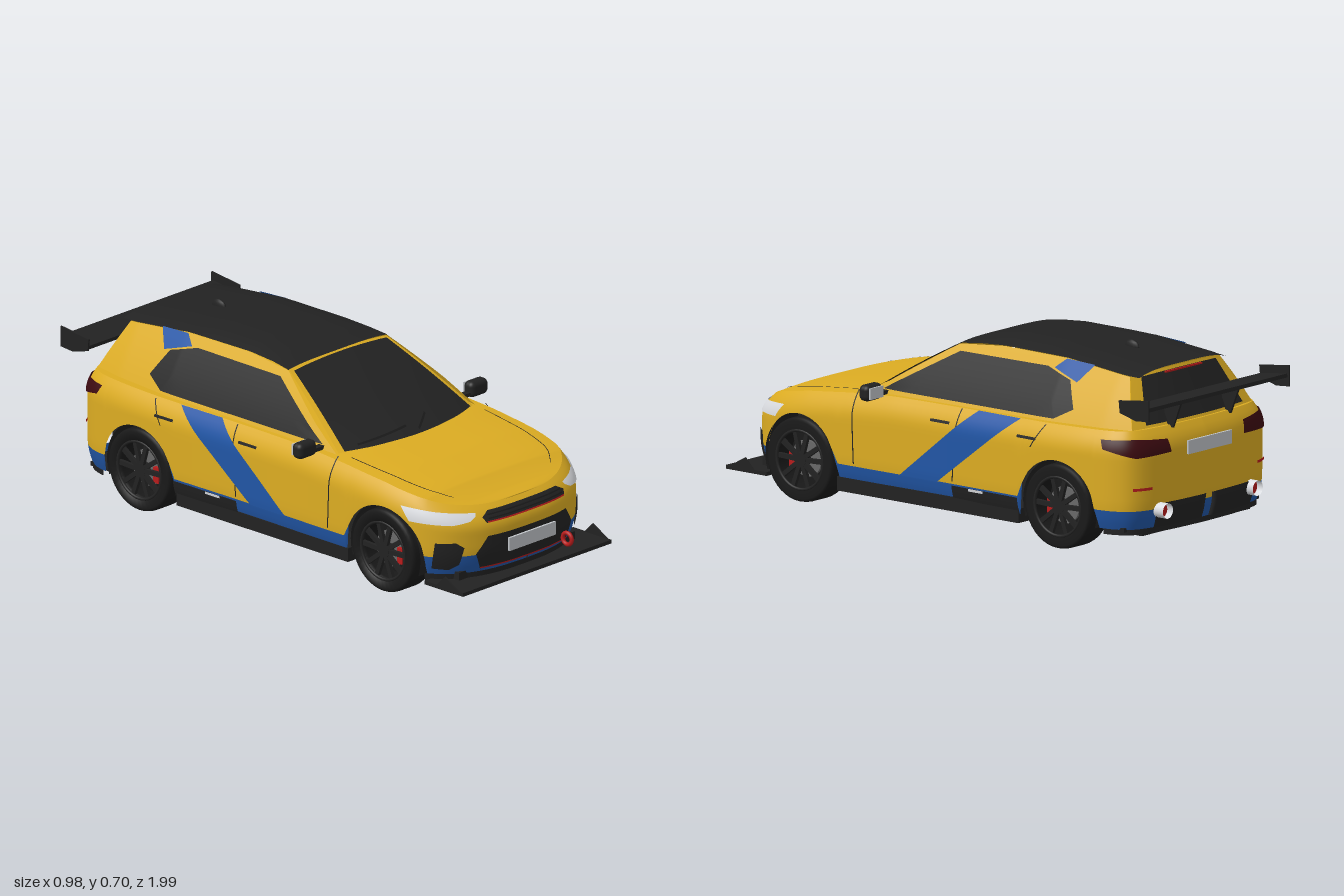
import * as THREE from 'three';
import { RoundedBoxGeometry } from 'three/addons/geometries/RoundedBoxGeometry.js';

const paint = (name, color) => {
  const m = new THREE.MeshStandardMaterial({ color, side: THREE.DoubleSide });
  m.name = name;
  return m;
};
const yellow = paint('yellowPaint', 0xdcac22), blue = paint('bluePaint', 0x2156a6);
const black = paint('blackTrim', 0x222222), rubber = paint('rubber', 0x191919);
const red = paint('redTrim', 0xb81c1c), silver = paint('silverPlate', 0xbfc3c7);
const lamp = paint('headlightGlass', 0xdcdee2), tail = paint('tailLightGlass', 0x3c0a10);
const steel = paint('exhaustSteel', 0x686868);

const { lerp, smoothstep } = THREE.MathUtils;
const table = (rows, x) => { // linear lookup, keys descending
  if (x >= rows[0][0]) return rows[0][1];
  for (let i = 1; i < rows.length; i++) {
    const [a, va] = rows[i - 1], [b, vb] = rows[i];
    if (x >= b) return lerp(va, vb, (a - x) / (a - b));
  }
  return rows[rows.length - 1][1];
};
const along = (line, t) => { // point on a polyline or function
  if (typeof line === 'function') return line(t);
  const k = t * (line.length - 1), i = Math.min(Math.floor(k), line.length - 2);
  return [0, 1].map((c) => lerp(line[i][c], line[i + 1][c], k - i));
};
// Sheet between two lines in a 2D parameter space, mapped into 3D by f
function strip(a, b, n, m, f) {
  const g = new THREE.PlaneGeometry(1, 1, n, m), pos = g.attributes.position;
  for (let i = 0; i < pos.count; i++) {
    const u = pos.getX(i) + 0.5, v = pos.getY(i) + 0.5;
    const p = along(a, u), q = along(b, u);
    pos.setXYZ(i, ...f([lerp(p[0], q[0], v), lerp(p[1], q[1], v)]));
  }
  g.computeVertexNormals();
  return g;
}
const solve = (fn, lo, hi) => { // fn true below the root
  for (let i = 0; i < 30; i++) { const mid = (lo + hi) / 2; if (fn(mid)) lo = mid; else hi = mid; }
  return lo;
};

// Plan outline from nose centre (s = 0) to tail centre (s = 1); negative s is the right side
const plan = new THREE.SplineCurve([[0, .955], [.12, .95], [.23, .925], [.32, .875], [.38, .8], [.41, .7],
  [.422, .55], [.424, .3], [.42, 0], [.422, -.3], [.426, -.55], [.42, -.72], [.4, -.84], [.34, -.91],
  [.2, -.94], [0, -.95]].map(([x, z]) => new THREE.Vector2(x, z)));
const at = (s) => plan.getPoint(Math.min(Math.max(s, 0), 1));
const sOfZ = (z) => solve((s) => at(s).y > z, 0, 1);
const sFront = (x) => solve((s) => at(s).x < x, 0, .44);
const sRear = (x) => solve((s) => at(s).x > x, .68, 1);
const topY = (z) => table([[.955, .335], [.9, .35], [.8, .375], [.6, .408], [.4, .43], [.2, .444], [-.5, .45], [-.95, .46]], z);
const crown = (z) => table([[.91, .003], [.8, .012], [.4, .014], [.2, .006], [-.95, 0]], z);
const WHEELS = [.62, -.59];
const bottomY = (z) => {
  for (const c of WHEELS) { const d = Math.abs(z - c); if (d < .172) return .155 + Math.sqrt(.172 ** 2 - d * d); }
  return .1;
};
// Body wall point at outline position s and height y
function wall(s, y, off = 0) {
  const k = Math.abs(s), p = at(k);
  const t = at(k + .002).sub(at(k - .002)).normalize();
  const inset = .035 * Math.max(0, 1 - (topY(p.y) - y) / .09) ** 2 + .02 * Math.max(0, (.2 - y) / .1) ** 2;
  const lean = smoothstep(p.y, .72, .95) * .02 * Math.max(0, (y - .26) / .08) ** 2;
  const x = k < .001 || k > .999 ? 0 : Math.max(0, p.x - t.y * (off - inset));
  return [Math.sign(s) * x, y, p.y + t.x * (off - inset) - lean];
}
// Bonnet and waist deck point
function deck(s, t, lift = 0) {
  const z = at(s).y, y = topY(z), p = wall(s, y);
  return [p[0] * t, y + crown(z) * (1 - Math.abs(t) ** 3) + lift, p[2]];
}
// Cabin side, half width by z and y
const cabinX = (z, y) => {
  const d = y - .45;
  return table([[.345, .352], [.2, .366], [-.5, .368], [-.75, .355], [-.88, .336]], z) - .45 * d - .6 * d * Math.abs(d);
};
const roofEdge = (z) => table([[0, .645], [-.08, .655], [-.2, .662], [-.5, .66], [-.79, .632], [-.83, .63]], z);
const roofMid = (z) => table([[0, .655], [-.08, .673], [-.2, .688], [-.4, .687], [-.6, .673], [-.83, .65]], z);
const screen = ([u, v], o = 0) => [u * lerp(.35, .252, v),
  lerp(.432, .655 - .01 * u * u, v) + .006 * Math.sin(Math.PI * v) + o, lerp(.42 - .075 * u * u, -.01 + .01 * u * u, v) + o];
const hatch = ([u, v], o = 0) => [u * lerp(cabinX(-.88, .44), cabinX(-.79, .632), v),
  lerp(.44, .645 - .013 * u * u, v) + o * .5, lerp(-.915 + .035 * u * u, -.82 + .03 * u * u, v) - o];

export function createModel() {
  const car = new THREE.Group();
  car.name = 'rallyHatchback';
  const add = (name, geo, mat, x = 0, y = 0, z = 0, parent = car) => {
    const m = new THREE.Mesh(geo, mat);
    m.name = name;
    m.position.set(x, y, z);
    parent.add(m);
    return m;
  };
  const box = (name, mat, w, h, d, x, y, z, parent) => add(name, new THREE.BoxGeometry(w, h, d), mat, x, y, z, parent);
  const ring = (yf) => (u) => [2 * u - 1, yf(at(Math.abs(2 * u - 1)).y)];
  const rect = (a0, a1, b0, b1) => [[[a0, b0], [a1, b0]], [[a0, b1], [a1, b1]]];
  const bandY = (z) => Math.max(.17, bottomY(z));

  // Body shell
  add('bodyWall', strip(ring(bandY), ring(topY), 300, 14, ([s, y]) => wall(s, y)), yellow);
  add('lowerBand', strip(ring(bottomY), ring(bandY), 300, 3, ([s, y]) => wall(s, y)), blue);
  add('bonnetAndDeck', strip((u) => [u, -1], (u) => [u, 1], 150, 24, ([s, t]) => deck(s, t)), yellow);
  // Cabin
  add('windscreenFrame', strip(...rect(-1, 1, 0, 1), 20, 10, (p) => screen(p)), yellow);
  add('windscreen', strip(...rect(-.94, .94, .03, .97), 20, 10, (p) => screen(p, .003)), black);
  add('tailgate', strip(...rect(-1, 1, 0, 1), 20, 8, (p) => hatch(p)), yellow);
  add('rearWindow', strip(...rect(-.82, .82, .14, .95), 20, 8, (p) => hatch(p, .004)), black);
  add('roof', strip([[0, -1], [-.83, -1]], [[0, 1], [-.83, 1]], 40, 24, ([z, t]) =>
    [t * cabinX(z, roofEdge(z)), lerp(roofEdge(z), roofMid(z), 1 - t ** 4) + .002, z]), black);
  box('highBrakeLight', red, .2, .006, .008, 0, .632, -.832);
  const fin = add('roofAntenna', new THREE.SphereGeometry(1, 12, 8), black, 0, .674, -.59);
  fin.scale.set(.012, .026, .034);

  // Nose
  const nose = (off) => ([x, y]) => wall(Math.sign(x) * sFront(Math.abs(x)), y, off);
  const mirrored = (edge) => edge.map(([x, y]) => [-x, y]);
  const noseShape = (name, mat, edge, off) => add(name, strip(edge, mirrored(edge), 12, 30, nose(off)), mat);
  noseShape('upperGrille', black, [[-.2, .285], [-.212, .305], [-.18, .322]], .005);
  noseShape('grilleRedLine', red, [[-.195, .286], [-.198, .291]], .008);
  noseShape('lowerIntake', black, [[-.225, .113], [-.245, .175], [-.2, .237]], .005);
  noseShape('intakeRedLine', red, [[-.225, .115], [-.228, .121]], .009);
  for (const y of [.297, .309]) noseShape('grilleBar', rubber, [[-.19, y], [-.19, y + .004]], .009);
  box('frontPlate', silver, .24, .05, .009, 0, .19, .964);
  const hook = add('towHook', new THREE.TorusGeometry(.022, .008, 8, 20), red, .185, .13, .962);
  hook.rotation.y = Math.PI / 2;
  add('frontLip', strip(...rect(-sOfZ(.79), sOfZ(.79), .068, .1), 60, 1, ([s, y]) => wall(s, Math.max(y, .09)).map((c, i) => i === 1 ? y : c)), black);
  box('splitter', black, .77, .014, .19, 0, .073, .895);

  // Tail
  const tailMap = (off) => ([x, y]) => wall(Math.sign(x) * sRear(Math.abs(x)), y, off);
  add('diffuser', strip([[-.27, .1], [-.27, .16], [-.23, .19]], [[.27, .1], [.27, .16], [.23, .19]], 8, 24, tailMap(.006)), black);
  box('rearPlate', silver, .24, .05, .009, 0, .375, -.953);
  box('wingBlade', black, .78, .014, .125, 0, .552, -.93).rotation.x = .12;

  // Floor and exhaust
  box('innerCore', black, .56, .26, 1.7, 0, .21, 0);
  box('floor', black, .6, .04, 1.78, 0, .09, 0);
  box('sills', black, .826, .052, .85, 0, .094, .02);
  box('rearFloor', black, .75, .015, .1, 0, .1, -.82);
  const lengthwise = (r, len) => new THREE.CylinderGeometry(r, r, len, 14).rotateX(Math.PI / 2);
  add('exhaustPipe', lengthwise(.012, 1.15), steel, .03, .066, -.22);
  const can = add('resonator', lengthwise(.04, .18), steel, .03, .066, 0);
  can.scale.y = .45;
  const muffler = add('muffler', new THREE.CapsuleGeometry(.045, .3, 6, 14).rotateZ(Math.PI / 2), steel, 0, .08, -.82);
  muffler.scale.y = .6;

  for (const k of [1, -1]) {
    const side = (off) => ([z, y]) => wall(k * sOfZ(z), y, off);
    const cabin = (off) => ([z, y]) => [k * (cabinX(z, y) + off), y + off * .4, z];
    // Cabin side, glass and stripes
    add('cabinSide', strip([[.345, .432], [-.88, .44]], [[0, .645], [-.2, .662], [-.5, .66], [-.79, .632]], 48, 10, cabin(0)), yellow);
    add('sideWindow', strip([[.27, .458], [-.53, .46], [-.605, .5]], [[-.02, .622], [-.43, .625], [-.55, .592]], 32, 10, cabin(.005)), black);
    add('pillarStripe', strip([[-.46, .624], [-.58, .588]], [[-.5, .658], [-.63, .652]], 8, 5, cabin(.004)), blue);
    add('doorStripe', strip([[.145, .168], [-.03, .168]], [[-.2, .449], [-.4, .449]], 14, 16, side(.004)), blue);
    add('sillPanel', strip(...rect(-.1, -.41, .115, .165), 12, 4, side(.006)), black);
    add('sillDecal', strip(...rect(-.18, -.25, .155, .165), 4, 1, side(.009)), lamp);
    // Panel gaps and handles
    for (const [z0, z1] of [[.36, .37], [-.1, -.12], [-.47, -.52]])
      add('doorGap', strip([[z0, z0 < -.4 ? .36 : .18], [z1, .445]], [[z0 - .005, z0 < -.4 ? .36 : .18], [z1 - .005, .445]], 14, 1, side(.003)), black);
    for (const z of [0, -.41]) add('doorHandle', strip(...rect(z, z - .09, .388, .398), 6, 2, side(.009)), black);
    add('bonnetGap', strip([[sOfZ(.86), k * .8], [sOfZ(.4), k * .88]], [[sOfZ(.86), k * .81], [sOfZ(.4), k * .89]], 24, 1, ([s, t]) => deck(s, t, .003)), black);
    // Lamps and vents
    add('headlight', strip([[k * .235, .312], [k * .26, .298], [k * .32, .29], [k * .402, .298]],
      [[k * .23, .322], [k * .3, .328], [k * .36, .337], [k * .41, .348]], 30, 8, nose(.005)), lamp);
    add('bumperVent', strip([[k * .3, .14], [k * .33, .12], [k * .37, .125]], [[k * .285, .205], [k * .31, .225], [k * .362, .225]], 16, 8, nose(.006)), black);
    add('tailLight', strip([[k * sOfZ(-.8), .395], [k * sRear(.35), .365], [k * sRear(.2), .372]],
      [[k * sOfZ(-.785), .428], [k * sRear(.35), .432], [k * sRear(.21), .42]], 30, 6, ([s, y]) => wall(s, y, .006)), tail);
    add('rearReflector', strip(...rect(k * .29, k * .36, .245, .255), 8, 1, tailMap(.006)), red);
    add('rearLip', strip(...rect(k * sOfZ(-.79), k, .08, .1), 30, 1, ([s, y]) => wall(s, .1).map((c, i) => i === 1 ? y : c)), black);
    add('exhaustTip', new THREE.CylinderGeometry(.028, .028, .07, 20, 1, true).rotateX(Math.PI / 2), lamp, k * .25, .165, -.935);
    add('exhaustInner', new THREE.CircleGeometry(.026, 20), red, k * .25, .165, -.945);
    // Splitter fin, wing end plate and strut, cut from flat shapes in the z-y plane
    const plate = (name, pts, x, depth) => {
      const g = new THREE.ExtrudeGeometry(new THREE.Shape(pts.map(([z, y]) => new THREE.Vector2(-z, y))), { depth, bevelEnabled: false });
      add(name, g.translate(0, 0, -depth / 2).rotateY(Math.PI / 2), black, x);
    };
    plate('splitterFin', [[.99, .07], [.85, .07], [.9, .12]], k * .383, .006);
    plate('wingEndPlate', [[-.865, .535], [-.86, .58], [-1, .597], [-1, .52], [-.94, .515]], k * .391, .007);
    plate('wingStrut', [[-.875, .55], [-.96, .55], [-.92, .45], [-.89, .45]], k * .16, .01);
    // Door mirror and wiper
    add('mirrorShell', new RoundedBoxGeometry(.09, .06, .05, 4, .02), black, k * .445, .462, .26);
    box('mirrorArm', black, .07, .014, .025, k * .385, .448, .262);
    box('mirrorGlass', silver, .072, .042, .006, k * .445, .462, .234);
    const w = k > 0 ? [[.02, .06], [.27, .17]] : [[-.78, .06], [-.1, .12]];
    add('wiper', strip(w, w.map(([u, v]) => [u, v + .02]), 10, 1, (p) => screen(p, .007)), rubber);

    // Wheels and arch liners
    for (const z of WHEELS) {
      const liner = new THREE.CylinderGeometry(.173, .173, .12, 32, 1, true, -.35, Math.PI + .7).rotateZ(Math.PI / 2);
      add('archLiner', liner, black, k * .34, .155, z);
      const wheel = new THREE.Group();
      wheel.name = 'wheel';
      wheel.position.set(k * .36, .155, z);
      car.add(wheel);
      const tyre = [[.108, -.055], [.143, -.058], [.152, -.052], [.155, -.04], [.155, .04], [.152, .052], [.143, .058], [.108, .055], [.106, .03], [.106, -.05]];
      add('tyre', new THREE.LatheGeometry(tyre.map(([r, y]) => new THREE.Vector2(r, y)), 40).rotateZ(Math.PI / 2), rubber, 0, 0, 0, wheel);
      const disc = (name, mat, r, t, x) => add(name, new THREE.CylinderGeometry(r, r, t, 28).rotateZ(Math.PI / 2), mat, k * x, 0, 0, wheel);
      disc('wheelBack', rubber, .106, .01, -.035);
      disc('brakeDisc', steel, .068, .01, .01);
      disc('hub', black, .026, .03, .036);
      box('brakeCaliper', red, .024, .06, .026, k * .016, -.012, .058, wheel);
      const rim = add('rimLip', new THREE.TorusGeometry(.108, .006, 8, 40), black, k * .052, 0, 0, wheel);
      rim.rotation.y = Math.PI / 2;
      for (let i = 0; i < 10; i++) {
        const spoke = new THREE.BoxGeometry(.014, .09, .017).translate(0, .063, 0);
        add('spoke', spoke, black, k * .043, 0, 0, wheel).rotation.x = (Math.floor(i / 2) + (i % 2 ? .22 : -.22)) * Math.PI * .4;
      }
    }
  }
  return car;
}
